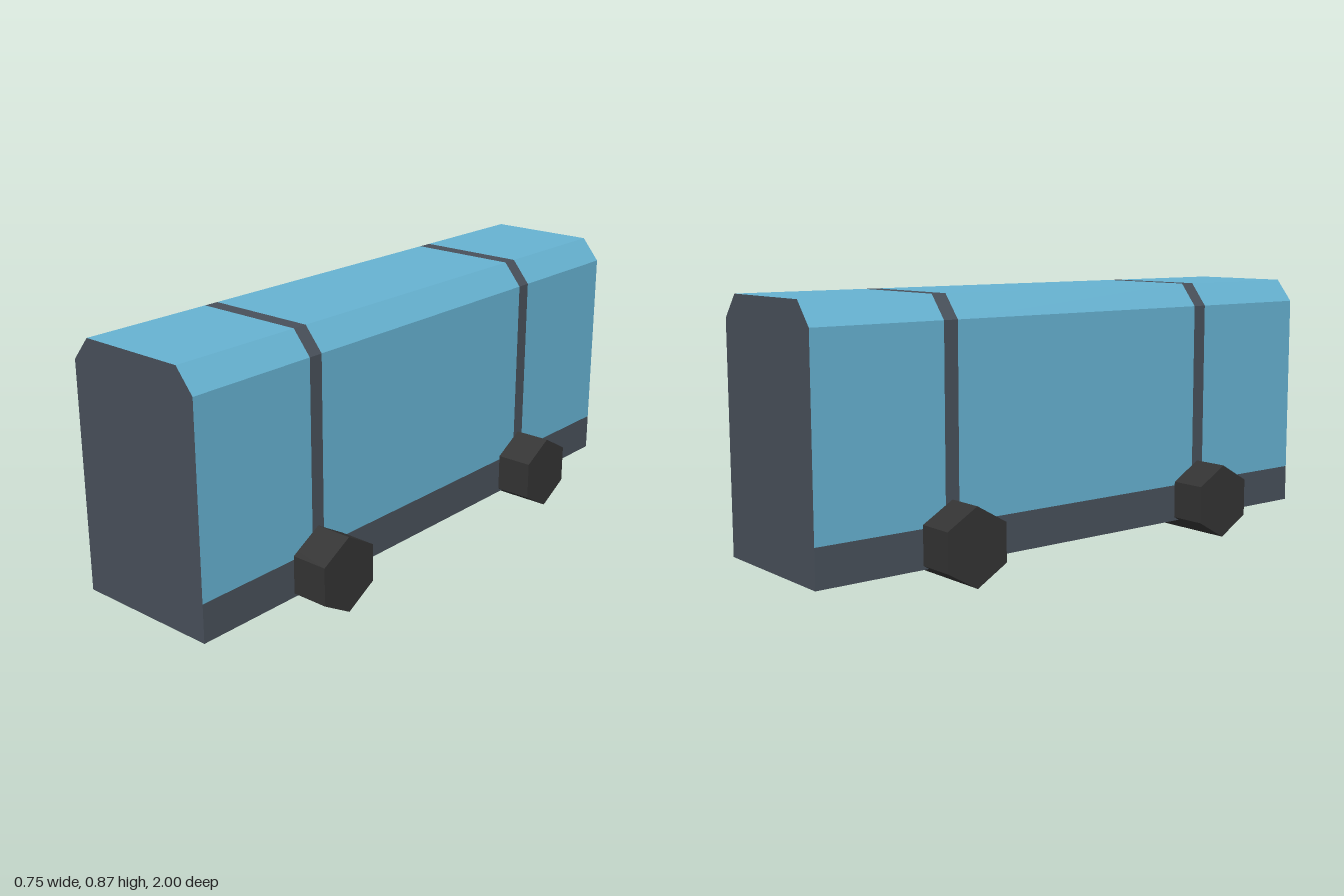
import * as THREE from 'three';

const mat = (color) => new THREE.MeshStandardMaterial({ color, flatShading: true });

// Flat panels swept along z from z0 to z1 over a counter-clockwise open profile
function sweep(name, profile, z0, z1, material) {
  const pos = [];
  for (let i = 0; i + 1 < profile.length; i++) {
    const [ax, ay] = profile[i], [bx, by] = profile[i + 1];
    pos.push(ax, ay, z1, ax, ay, z0, bx, by, z0);
    pos.push(ax, ay, z1, bx, by, z0, bx, by, z1);
  }
  const geo = new THREE.BufferGeometry();
  geo.setAttribute('position', new THREE.Float32BufferAttribute(pos, 3));
  geo.computeVertexNormals();
  const mesh = new THREE.Mesh(geo, material);
  mesh.name = name;
  return mesh;
}

export function createModel() {
  const model = new THREE.Group();
  model.name = 'railCar';
  const blue = mat(0x66b2d1), slate = mat(0x48505a), black = mat(0x333333);

  const W = 0.25, floor = 0.05, skirt = 0.175, shoulder = 0.79, roof = 0.865, roofW = 0.188;
  const upper = [[W, skirt], [W, shoulder], [roofW, roof], [-roofW, roof], [-W, shoulder], [-W, skirt]];

  // Painted walls and roof, split by two dark bands
  const cuts = [-1, -0.55, -0.5, 0.5, 0.55, 1];
  for (let i = 0; i < 5; i++) {
    const band = i % 2 === 1;
    model.add(sweep(band ? 'band' : 'bodyPanel', upper, cuts[i], cuts[i + 1], band ? slate : blue));
  }

  // Dark skirts and painted underside
  model.add(sweep('leftSkirt', [[W, floor], [W, skirt]], -1, 1, slate));
  model.add(sweep('rightSkirt', [[-W, skirt], [-W, floor]], -1, 1, slate));
  model.add(sweep('underside', [[-W, floor], [W, floor]], -1, 1, blue));

  // End walls
  const outline = [[W, floor], ...upper.slice(1, -1), [-W, floor]];
  const endGeo = new THREE.ShapeGeometry(new THREE.Shape(outline.map(([x, y]) => new THREE.Vector2(x, y))));
  for (const s of [1, -1]) {
    const end = new THREE.Mesh(endGeo, slate);
    end.name = s > 0 ? 'frontWall' : 'backWall';
    end.position.z = s;
    if (s < 0) end.rotation.y = Math.PI;
    model.add(end);
  }

  // Hexagonal wheel rollers running the full width, one corner up
  const wheelGeo = new THREE.CylinderGeometry(0.125, 0.125, 0.75, 6, 1, false, Math.PI / 2);
  wheelGeo.rotateZ(Math.PI / 2);
  for (const s of [1, -1]) {
    const wheels = new THREE.Mesh(wheelGeo, black);
    wheels.name = s > 0 ? 'frontWheels' : 'backWheels';
    wheels.position.set(0, 0.125, s * 0.525);
    model.add(wheels);
  }
  return model;
}
